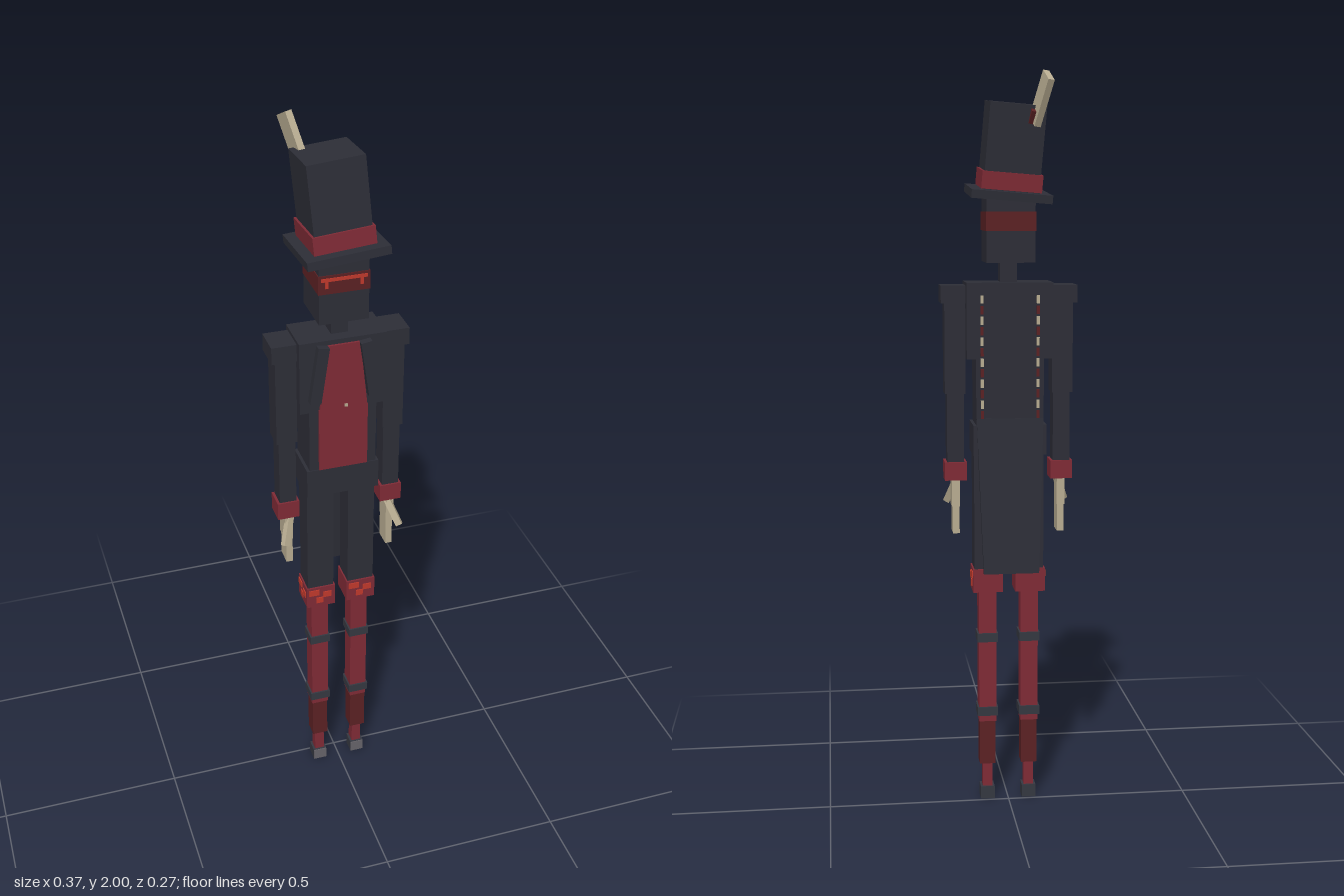
import * as THREE from 'three';

export function createModel() {
  const root = new THREE.Group();
  root.name = 'topHatFigure';

  const mat = (name, color) => {
    const m = new THREE.MeshStandardMaterial({ color, flatShading: true });
    m.name = name;
    return m;
  };
  const cloth = mat('charcoal cloth', 0x2d2e37);
  const strap = mat('strap grey', 0x353841);
  const red = mat('wine red', 0x802b36);
  const darkRed = mat('dark red', 0x5c2124);
  const bright = mat('bright red', 0xc23a2c);
  const bone = mat('bone', 0xb9ad92);
  const grey = mat('shoe grey', 0x67646a);

  // Box given by its centre x/z, bottom and top heights, width and depth
  const block = (parent, name, m, x, z, y0, y1, w, d) => {
    const mesh = new THREE.Mesh(new THREE.BoxGeometry(w, y1 - y0, d), m);
    mesh.position.set(x, (y0 + y1) / 2, z);
    mesh.name = name;
    parent.add(mesh);
    return mesh;
  };

  // Box whose top is narrowed in x
  const taper = (mesh, topScale) => {
    const p = mesh.geometry.attributes.position;
    for (let i = 0; i < p.count; i++) if (p.getY(i) > 0) p.setX(i, p.getX(i) * topScale);
    mesh.geometry.computeVertexNormals();
    return mesh;
  };

  // Box stretched between two points
  const limb = (parent, name, m, a, b, w, d) => {
    const from = new THREE.Vector3(...a), to = new THREE.Vector3(...b);
    const dir = to.clone().sub(from);
    const mesh = new THREE.Mesh(new THREE.BoxGeometry(w, dir.length(), d), m);
    mesh.position.copy(from).add(to).multiplyScalar(0.5);
    mesh.quaternion.setFromUnitVectors(new THREE.Vector3(0, 1, 0), dir.normalize());
    mesh.name = name;
    parent.add(mesh);
    return mesh;
  };

  // Head, with a mask band all round and narrow eye strips
  const head = new THREE.Group();
  head.name = 'head';
  root.add(head);
  block(head, 'neck', cloth, 0, 0.025, 1.44, 1.52, 0.045, 0.048);
  block(head, 'skull', cloth, -0.002, 0.026, 1.505, 1.675, 0.13, 0.13);
  block(head, 'maskBand', darkRed, -0.002, 0.026, 1.588, 1.638, 0.134, 0.134);
  block(head, 'maskTrim', bright, -0.002, 0.0935, 1.622, 1.631, 0.12, 0.003);
  for (const s of [-1, 1]) {
    block(head, 'eyeStrip', bright, s * 0.045 - 0.002, 0.0935, 1.604, 1.622, 0.008, 0.003);
  }

  // Tilted top hat
  const hat = new THREE.Group();
  hat.name = 'hat';
  hat.position.set(0, 1.684, 0.023);
  hat.rotation.set(-0.08, 0, 0.08);
  root.add(hat);
  block(hat, 'brim', cloth, 0, 0, -0.01, 0.012, 0.213, 0.213);
  block(hat, 'crown', cloth, 0, 0, 0.012, 0.236, 0.148, 0.148);
  block(hat, 'hatBand', red, 0, 0, 0.014, 0.06, 0.16, 0.16);

  // Feather and its clip behind the crown
  const feather = new THREE.Mesh(new THREE.BoxGeometry(0.017, 0.13, 0.062), bone);
  feather.name = 'feather';
  feather.position.set(-0.076, 1.925, -0.083);
  feather.rotation.set(-0.46, 0.1, 0.22);
  root.add(feather);
  const clip = block(root, 'featherClip', darkRed, -0.06, -0.062, 1.865, 1.9, 0.026, 0.03);
  clip.rotation.set(-0.46, 0, 0.2);

  // Torso and waistcoat
  const torso = new THREE.Group();
  torso.name = 'torso';
  root.add(torso);
  block(torso, 'chest', cloth, 0, 0.023, 1.25, 1.453, 0.232, 0.115);
  block(torso, 'waist', cloth, 0, 0.023, 1.06, 1.26, 0.182, 0.112);
  block(torso, 'hips', cloth, 0, 0.023, 0.99, 1.072, 0.198, 0.118);
  taper(block(torso, 'upperVest', red, 0, 0.083, 1.255, 1.44, 0.128, 0.007), 0.68);
  block(torso, 'lowerVest', red, 0, 0.081, 1.073, 1.255, 0.132, 0.008);
  block(torso, 'vestButton', bone, 0.006, 0.0875, 1.258, 1.266, 0.008, 0.003);

  // Coat tail hanging away from the legs
  const tail = limb(torso, 'coatTail', cloth, [0, 0.67, -0.064], [0, 1.09, -0.03], 0.15, 0.014);
  taper(tail, 1.2);

  // Mirrored parts
  for (const s of [-1, 1]) {
    const side = s > 0 ? 'left' : 'right';

    // Lapel
    limb(torso, side + 'Lapel', cloth, [s * 0.079, 1.285, 0.089], [s * 0.056, 1.442, 0.089], 0.03, 0.022);

    // Stitching down the back of the coat
    for (let i = 0; i < 12; i++) {
      const y = 1.09 + i * 0.028;
      block(torso, side + 'Stitch', i % 2 ? bone : darkRed, s * 0.075, -0.0355, y, y + 0.022, 0.008, 0.004);
    }

    // Arm
    const arm = new THREE.Group();
    arm.name = side + 'Arm';
    root.add(arm);
    block(arm, 'shoulder', cloth, s * 0.15, 0.022, 1.398, 1.445, 0.066, 0.083);
    block(arm, 'upperArm', cloth, s * 0.145, 0.025, 1.155, 1.4, 0.056, 0.064);
    block(arm, 'forearm', cloth, s * 0.144, 0.027, 0.965, 1.16, 0.046, 0.052);
    block(arm, 'cuff', red, s * 0.144, 0.027, 0.918, 0.968, 0.06, 0.062);
    block(arm, 'palm', bone, s * 0.144, 0.029, 0.845, 0.92, 0.022, 0.052);
    block(arm, 'fingers', bone, s * 0.143, 0.029, 0.77, 0.846, 0.018, 0.05);
    limb(arm, 'thumb', bone, [s * 0.138, 0.916, 0.045], [s * 0.163, 0.847, 0.082], 0.016, 0.018);

    // Leg
    const leg = new THREE.Group();
    leg.name = side + 'Leg';
    root.add(leg);
    const x = s * 0.058, z = 0.028;
    block(leg, 'thigh', cloth, x, z, 0.665, 1.0, 0.074, 0.07);
    block(leg, 'kneeCuff', red, x, z, 0.605, 0.67, 0.082, 0.08);
    block(leg, 'shin', red, x, z, 0.23, 0.61, 0.048, 0.05);
    block(leg, 'lowerShin', darkRed, x, z, 0.105, 0.235, 0.044, 0.046);
    block(leg, 'ankle', red, x, z, 0.03, 0.108, 0.027, 0.029);
    block(leg, 'shoe', strap, x, z, 0, 0.036, 0.039, 0.039);
    block(leg, 'shoeCap', grey, x, z + 0.0205, 0.001, 0.035, 0.038, 0.003);
    for (const y of [0.247, 0.46]) {
      block(leg, 'strap', strap, x, z, y, y + 0.025, 0.057, 0.059);
    }

    // Bright patches on the knee cuff
    for (const [dx, y, w] of [[-0.02, 0.645, 0.03], [0.018, 0.635, 0.024], [-0.004, 0.618, 0.02]]) {
      block(leg, 'cuffPatch', bright, x + dx, z + 0.041, y, y + 0.018, w, 0.003);
      block(leg, 'cuffPatch', bright, x + s * 0.042, z + dx, y, y + 0.018, 0.003, w);
    }
  }
  return root;
}
